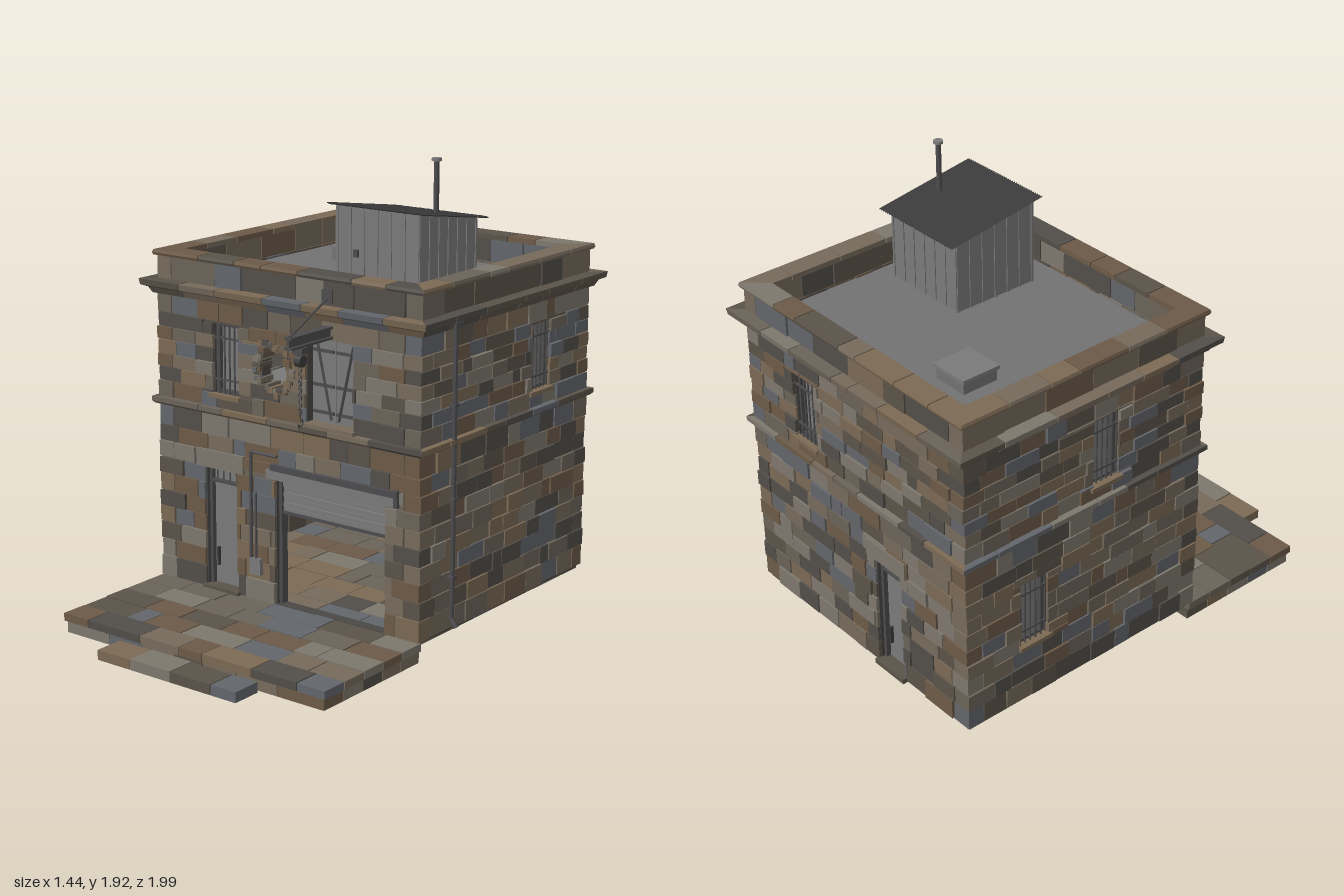
import * as THREE from 'three';
import { mergeGeometries } from 'three/addons/utils/BufferGeometryUtils.js';

const CZ = -0.335, T = 0.08; // building centre in z, wall thickness
let seed = 7;
const rnd = () => (seed = (seed * 16807) % 2147483647) / 2147483647;
const mat = (color, side = THREE.FrontSide) => new THREE.MeshStandardMaterial({ color, side, flatShading: true });
const STONES = [0x6b6358, 0x5b5349, 0x766a5c, 0x62656a, 0x7b6954, 0x524e49, 0x7d776d, 0x6c5a47].map(c => mat(c));
const MORTAR = mat(0x4a4845), IRON = mat(0x4c4c4e), DARK = mat(0x3c3c3c), PANEL = mat(0x7a7a7a), ROOF = mat(0x727272);

function add(parent, name, geo, material, x = 0, y = 0, z = 0) {
  const m = new THREE.Mesh(geo, material);
  m.name = name;
  m.position.set(x, y, z);
  parent.add(m);
  return m;
}
// box given by its limits
const box = (p, name, m, x0, x1, y0, y1, z0, z1) =>
  add(p, name, new THREE.BoxGeometry(x1 - x0, y1 - y0, z1 - z0), m, (x0 + x1) / 2, (y0 + y1) / 2, (z0 + z1) / 2);
// round bar between two points
function rod(p, name, m, a, b, r, sides = 8) {
  const A = new THREE.Vector3(...a), B = new THREE.Vector3(...b), d = B.clone().sub(A);
  const o = add(p, name, new THREE.CylinderGeometry(r, r, d.length(), sides), m);
  o.position.copy(A).add(B).multiplyScalar(0.5);
  o.quaternion.setFromUnitVectors(new THREE.Vector3(0, 1, 0), d.normalize());
  return o;
}

// collects stones and merges them into one mesh per stone colour
class Masonry {
  constructor() { this.sets = STONES.map(() => []); }
  put(geo) {
    const g = geo.index ? geo.toNonIndexed() : geo;
    this.sets[Math.floor(rnd() * STONES.length)].push(g);
  }
  block(x0, x1, y0, y1, z0, z1) {
    this.put(new THREE.BoxGeometry(x1 - x0, y1 - y0, z1 - z0).translate((x0 + x1) / 2, (y0 + y1) / 2, (z0 + z1) / 2));
  }
  build(parent, name) {
    this.sets.forEach((s, i) => s.length && add(parent, name, mergeGeometries(s), STONES[i]));
  }
}
// uneven division of a length
function split(a, b, size) {
  const n = Math.max(1, Math.round((b - a) / size)), cuts = [a];
  for (let i = 1; i < n; i++) cuts.push(a + (b - a) * (i + (rnd() - 0.5) * 0.6) / n);
  cuts.push(b);
  return cuts.slice(1).map((e, i) => [cuts[i], e]);
}
// rectangle [u0,u1,y0,y1] minus a rectangular opening
function cut([a, b, c, d], [e, f, g, h]) {
  if (b <= e || a >= f || d <= g || c >= h) return [[a, b, c, d]];
  const lo = Math.max(c, g), hi = Math.min(d, h);
  return [[a, b, c, g], [a, b, h, d], [a, e, lo, hi], [f, b, lo, hi]].filter(r => r[1] - r[0] > 0.008 && r[3] - r[2] > 0.008);
}
// moulded course along one wall with mitred ends; profile points are [outward offset, y]
function band(wall, name, half, dist, profile) {
  const m = new Masonry();
  for (const [a, b] of split(-half, half, 0.2)) {
    const shape = new THREE.Shape(profile.map(([o, y]) => new THREE.Vector2(-(dist + o), y)));
    const g = new THREE.ExtrudeGeometry(shape, { depth: b - a - 0.005, bevelEnabled: false }).rotateY(Math.PI / 2).translate(a + 0.0025, 0, 0);
    const p = g.attributes.position;
    for (let i = 0; i < p.count; i++) {
      const u = p.getX(i);
      if (Math.abs(u) > half - 0.004) p.setX(i, Math.sign(u) * (half + p.getZ(i) - dist));
    }
    g.computeVertexNormals();
    m.put(g);
  }
  m.build(wall, name);
}
const ROWS = [0.085, 0.175, 0.25, 0.325, 0.395, 0.465, 0.54, 0.61, 0.68, 0.75, 0.84, 0.87, 0.94, 1, 1.055, 1.115, 1.17, 1.23, 1.31, 1.37, 1.47];

function makeWall(root, name, angle, half, dist, holes, odd) {
  const wall = new THREE.Group();
  wall.name = name;
  wall.rotation.y = angle;
  wall.position.z = CZ;
  root.add(wall);
  // mortar core
  const h = half - 0.02;
  const shape = new THREE.Shape([[-h, 0.075], [h, 0.075], [h, 1.47], [-h, 1.47]].map(p => new THREE.Vector2(...p)));
  for (const [a, b, c, d] of holes)
    shape.holes.push(new THREE.Path([[a, c], [a, d], [b, d], [b, c]].map(p => new THREE.Vector2(...p))));
  add(wall, 'mortarCore', new THREE.ExtrudeGeometry(shape, { depth: T - 0.03, bevelEnabled: false }), MORTAR, 0, 0, dist - T + 0.015);
  // courses of stone, interlocked at the corners
  const m = new Masonry(), gap = 0.002;
  for (let r = 0; r < ROWS.length - 1; r++) {
    const w = half - ((r % 2 === 1) === odd ? T : 0);
    for (const [a, b] of split(-w, w, r > 18 ? 0.2 : 0.125)) {
      let parts = [[a, b, ROWS[r], ROWS[r + 1]]];
      for (const o of holes) parts = parts.flatMap(p => cut(p, o));
      for (const [u0, u1, y0, y1] of parts)
        m.block(u0 + gap, u1 - gap, y0 + gap, y1 - gap, dist - T + rnd() * 0.006, dist - 0.007 + rnd() * 0.011);
    }
  }
  m.build(wall, 'wallStones');
  band(wall, 'stringCourse', half, dist, [[-0.04, 0.84], [0.01, 0.84], [0.02, 0.85], [0.02, 0.87], [-0.04, 0.87]]);
  band(wall, 'cornice', half, dist, [[-0.04, 1.31], [0.012, 1.31], [0.025, 1.335], [0.048, 1.345], [0.052, 1.37], [-0.04, 1.37]]);
  band(wall, 'parapetCap', half, dist, [[-0.085, 1.468], [0.008, 1.468], [0.012, 1.478], [0.008, 1.49], [-0.085, 1.49]]);
  return wall;
}
function barredWindow(wall, [a, b, c, d], dist) {
  const g = new THREE.Group();
  g.name = 'barredWindow';
  wall.add(g);
  box(g, 'windowPane', PANEL, a, b, c, d, dist - 0.06, dist - 0.05);
  for (const [x0, x1, y0, y1] of [[a, a + 0.012, c, d], [b - 0.012, b, c, d], [a, b, c, c + 0.012], [a, b, d - 0.012, d]])
    box(g, 'windowFrame', IRON, x0, x1, y0, y1, dist - 0.05, dist - 0.025);
  for (let i = 1; i < 5; i++) {
    const u = a + (b - a) * i / 5;
    rod(g, 'windowBar', IRON, [u, c, dist - 0.015], [u, d, dist - 0.015], 0.004, 6);
  }
  for (const t of [0.2, 0.8]) box(g, 'crossBar', IRON, a, b, c + (d - c) * t - 0.004, c + (d - c) * t + 0.004, dist - 0.02, dist - 0.012);
  box(g, 'windowSill', STONES[4], a - 0.015, b + 0.015, c - 0.018, c, dist - 0.06, dist + 0.012);
}
function door(wall, [a, b, c, d], dist) {
  const g = new THREE.Group();
  g.name = 'door';
  wall.add(g);
  box(g, 'doorLeaf', PANEL, a, b, c, d, dist - 0.065, dist - 0.05);
  for (const x of [a, b - 0.014]) box(g, 'doorJamb', IRON, x, x + 0.014, c, d, dist - 0.05, dist - 0.03);
  box(g, 'transom', IRON, a, b, d - 0.07, d - 0.058, dist - 0.05, dist - 0.03);
  for (let i = 1; i < 5; i++) rod(g, 'transomBar', IRON, [a + (b - a) * i / 5, d - 0.06, dist - 0.04], [a + (b - a) * i / 5, d, dist - 0.04], 0.003, 6);
  box(g, 'doorHandle', DARK, a + 0.03, a + 0.038, c + 0.09, c + 0.17, dist - 0.05, dist - 0.035);
  box(g, 'doorLintel', STONES[6], a - 0.04, b + 0.04, d, d + 0.075, dist - 0.07, dist + 0.008);
  box(g, 'threshold', STONES[1], a - 0.01, b + 0.01, c - 0.01, c + 0.012, dist - 0.07, dist + 0.012);
}

export function createModel() {
  const root = new THREE.Group();
  root.name = 'stoneWorkshop';

  // walls, openings given as [u0, u1, y0, y1]
  const F = [[-0.42, -0.25, 0.085, 0.61], [-0.05, 0.5, 0.085, 0.63], [-0.37, -0.24, 0.93, 1.22], [-0.12, 0.01, 1.0, 1.16], [0.11, 0.34, 0.88, 1.23]];
  const R = [[0.165, 0.305, 0.94, 1.22]], B = [[-0.365, -0.235, 0.93, 1.22], [0.11, 0.27, 0.085, 0.6]];
  const L = [[0.03, 0.16, 0.93, 1.22], [-0.33, -0.2, 0.35, 0.64]];
  const front = makeWall(root, 'frontWall', 0, 0.67, 0.605, F, true);
  const right = makeWall(root, 'leftSideWall', Math.PI / 2, 0.605, 0.67, R, false);
  const back = makeWall(root, 'backWall', Math.PI, 0.67, 0.605, B, true);
  const left = makeWall(root, 'rightSideWall', -Math.PI / 2, 0.605, 0.67, L, false);
  door(front, F[0], 0.605);
  door(back, B[1], 0.605);
  barredWindow(front, F[2], 0.605);
  barredWindow(right, R[0], 0.67);
  barredWindow(back, B[0], 0.605);
  L.forEach(w => barredWindow(left, w, 0.67));

  // floors, terrace and step of paving stones
  const paving = new Masonry();
  const pave = (hw, y0, y1, z0, z1, rows, size) => {
    for (let r = 0; r < rows; r++)
      for (const [a, b] of split(-hw, hw, size))
        paving.block(a + 0.002, b - 0.002, y0, y1 - rnd() * 0.004, z0 + (z1 - z0) * r / rows + 0.002, z0 + (z1 - z0) * (r + 1) / rows - 0.002);
  };
  pave(0.655, 0.068, 0.086, -0.925, 0.25, 9, 0.19);
  pave(0.67, 0.05, 0.085, 0.25, 0.865, 5, 0.19);
  pave(0.66, 0, 0.048, 0.25, 0.855, 5, 0.2);
  pave(0.355, 0, 0.045, 0.868, 1, 1, 0.17);
  paving.build(root, 'paving');
  box(root, 'floorBed', MORTAR, -0.64, 0.64, 0.072, 0.078, -0.91, 0.26);
  box(root, 'terraceBed', MORTAR, -0.65, 0.65, 0.01, 0.075, 0.26, 0.845);
  box(root, 'upperFloor', PANEL, -0.6, 0.6, 0.83, 0.86, -0.87, 0.2);
  box(root, 'roofDeck', ROOF, -0.6, 0.6, 1.33, 1.36, -0.885, 0.2);

  // workshop opening: half-raised shutter, lintel and hood
  for (let i = 0; i < 7; i++) box(root, 'shutterSlat', PANEL, -0.05, 0.5, 0.48 + i * 0.021, 0.498 + i * 0.021, 0.215, 0.228 + (i % 2) * 0.004);
  box(root, 'shutterBottomBar', IRON, -0.05, 0.5, 0.47, 0.482, 0.21, 0.235);
  for (const x of [-0.05, 0.485]) box(root, 'shutterRail', IRON, x, x + 0.015, 0.085, 0.63, 0.205, 0.24);
  box(root, 'openingLintel', PANEL, -0.09, 0.55, 0.62, 0.66, 0.2, 0.278);
  box(root, 'openingHood', IRON, -0.06, 0.57, 0.66, 0.685, 0.26, 0.288);
  box(root, 'hoodBracket', IRON, 0.55, 0.57, 0.62, 0.69, 0.262, 0.284);
  box(root, 'wallBox', PANEL, 0.195, 0.245, 0.37, 0.42, -0.86, -0.83);

  // loft doors with slanting braces
  for (const [x0, x1, s] of [[0.11, 0.223, 1], [0.227, 0.34, -1]]) {
    box(root, 'loftDoor', PANEL, x0, x1, 0.88, 1.23, 0.205, 0.22);
    for (const y of [0.92, 1.03, 1.17]) box(root, 'loftRail', IRON, x0 + 0.005, x1 - 0.005, y, y + 0.012, 0.22, 0.228);
    const c = (x0 + x1) / 2;
    rod(root, 'loftBrace', IRON, [c - s * 0.03, 1.21, 0.226], [c + s * 0.04, 0.9, 0.226], 0.007, 4);
  }
  box(root, 'loftSill', STONES[2], 0.095, 0.355, 0.868, 0.885, 0.2, 0.285);

  // broken wall patch ringed by loose chips
  const chips = new Masonry();
  for (let i = 0; i < 34; i++) {
    const a = i * 2.4, r = 0.07 + 0.03 * rnd(), w = 0.008 + rnd() * 0.012, h = 0.006 + rnd() * 0.008;
    const x = -0.055 + Math.cos(a) * r, y = 1.08 + Math.sin(a) * r * 1.15;
    chips.block(x - w, x + w, y - h, y + h, 0.2, 0.272 + rnd() * 0.008);
  }
  chips.build(root, 'brokenStones');

  // hoist: beam, stay, pulley and chain
  const hoist = new THREE.Group();
  hoist.name = 'hoist';
  root.add(hoist);
  const X = 0.225;
  box(hoist, 'hoistTopFlange', IRON, X - 0.018, X + 0.018, 1.28, 1.29, 0.2, 0.52);
  box(hoist, 'hoistWeb', IRON, X - 0.006, X + 0.006, 1.25, 1.28, 0.2, 0.52);
  box(hoist, 'hoistBottomFlange', IRON, X - 0.018, X + 0.018, 1.24, 1.25, 0.2, 0.52);
  rod(hoist, 'hoistStay', IRON, [X, 1.29, 0.51], [X, 1.41, 0.26], 0.005);
  box(hoist, 'stayPlate', IRON, X - 0.025, X + 0.025, 1.385, 1.435, 0.262, 0.28);
  box(hoist, 'trolley', IRON, X - 0.025, X + 0.025, 1.215, 1.24, 0.425, 0.465);
  add(hoist, 'pulley', new THREE.CylinderGeometry(0.024, 0.024, 0.03, 12).rotateZ(Math.PI / 2), DARK, X, 1.185, 0.445);
  for (let i = 0; i < 14; i++)
    add(hoist, 'chainLink', new THREE.TorusGeometry(0.008, 0.0025, 4, 8).rotateY(i % 2 * Math.PI / 2), IRON, X, 1.155 - i * 0.0138, 0.445);
  add(hoist, 'hook', new THREE.TorusGeometry(0.014, 0.004, 5, 10, 4.4).rotateZ(-3).rotateY(Math.PI / 2), IRON, X, 0.94, 0.445);

  // conduits and switch box beside the door
  rod(root, 'conduit', IRON, [-0.165, 0.27, 0.28], [-0.165, 0.72, 0.28], 0.007);
  rod(root, 'conduit', IRON, [-0.165, 0.72, 0.28], [-0.03, 0.72, 0.28], 0.007);
  rod(root, 'conduit', IRON, [-0.14, 0.27, 0.28], [-0.14, 0.55, 0.28], 0.005);
  box(root, 'switchBox', PANEL, -0.17, -0.115, 0.2, 0.27, 0.265, 0.288);

  // drainpipe
  rod(root, 'drainpipe', IRON, [0.682, 0.13, 0.065], [0.682, 1.33, 0.065], 0.01);
  rod(root, 'drainpipeFoot', IRON, [0.68, 0.135, 0.065], [0.705, 0.1, 0.065], 0.011);
  box(root, 'rainHead', IRON, 0.665, 0.7, 1.31, 1.335, 0.04, 0.09);
  for (const y of [0.3, 0.62, 1.0]) box(root, 'pipeClip', IRON, 0.665, 0.694, y, y + 0.012, 0.05, 0.08);

  // rooftop shed with ribbed cladding and a corrugated roof
  const shed = new THREE.Group();
  shed.name = 'rooftopShed';
  root.add(shed);
  const slope = z => 1.725 + (z - 0.07) * 0.155;
  const side = new THREE.Shape([[-0.07, 1.355], [0.32, 1.355], [0.32, slope(-0.32)], [-0.07, 1.725]].map(p => new THREE.Vector2(...p)));
  add(shed, 'shedWalls', new THREE.ExtrudeGeometry(side, { depth: 0.4, bevelEnabled: false }).rotateY(Math.PI / 2), PANEL, 0.11);
  for (let i = 0; i <= 6; i++) {
    const x = 0.115 + i * 0.065, z = 0.065 - i * 0.0633;
    for (const f of [0.07, -0.32]) box(shed, 'claddingRib', PANEL, x - 0.005, x + 0.005, 1.36, slope(f) - 0.002, f - 0.004, f + 0.004);
    for (const f of [0.11, 0.51]) box(shed, 'claddingRib', PANEL, f - 0.004, f + 0.004, 1.36, slope(z) - 0.004, z - 0.005, z + 0.005);
  }
  box(shed, 'shedLatch', IRON, 0.2, 0.22, 1.53, 1.56, 0.07, 0.082);
  const sheet = new THREE.PlaneGeometry(0.455, 0.46, 144, 1).rotateX(-Math.PI / 2).translate(0.3125, 0, -0.13);
  const p = sheet.attributes.position;
  for (let i = 0; i < p.count; i++) p.setY(i, slope(p.getZ(i)) + 0.006 + 0.004 * Math.sin((i % 145) * Math.PI / 2));
  sheet.computeVertexNormals();
  add(shed, 'corrugatedRoof', sheet, mat(0x444444, THREE.DoubleSide));
  rod(shed, 'stovePipe', IRON, [0.45, 1.68, -0.125], [0.45, 1.915, -0.125], 0.011, 12);
  rod(shed, 'stovePipeCap', PANEL, [0.45, 1.908, -0.125], [0.45, 1.92, -0.125], 0.02, 12);

  // roof hatch
  box(root, 'hatchCurb', ROOF, -0.37, -0.21, 1.355, 1.41, -0.685, -0.525);
  box(root, 'hatchLid', PANEL, -0.378, -0.202, 1.41, 1.425, -0.693, -0.517);
  return root;
}
